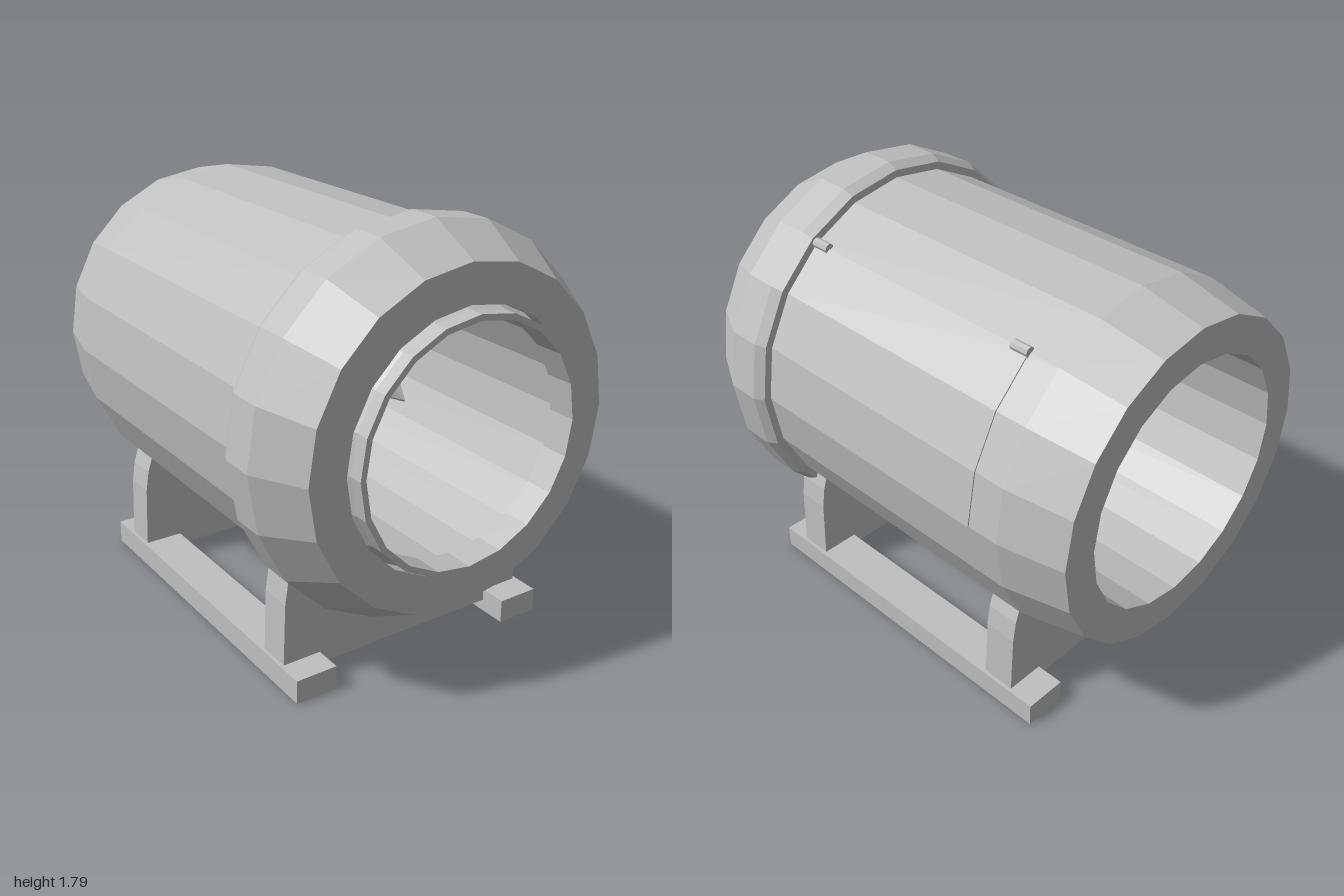
import * as THREE from 'three';

const AXIS_Y = 1;   // height of the engine axis
const SIDES = 20;

export function createModel() {
  const metal = new THREE.MeshStandardMaterial({ color: 0xbfbfbf });
  metal.name = 'grey metal';

  const model = new THREE.Group();
  model.name = 'turbineOnCradle';
  const engine = new THREE.Group();
  engine.name = 'engine';
  engine.position.y = AXIS_Y;
  model.add(engine);

  // Adds a faceted mesh
  function add(parent, name, geometry) {
    const flat = geometry.index ? geometry.toNonIndexed() : geometry;
    flat.computeVertexNormals();
    const mesh = new THREE.Mesh(flat, metal);
    mesh.name = name;
    parent.add(mesh);
    return mesh;
  }

  // Turns [radius, z] points about the z axis
  function turned(profile, sides = SIDES) {
    const points = profile.map(([r, z]) => new THREE.Vector2(r, z));
    return new THREE.LatheGeometry(points, sides).rotateX(Math.PI / 2);
  }

  // Hollow casing with the raised front cowl
  add(engine, 'casing', turned([
    [0.525, -1], [0.675, -1], [0.733, -0.73], [0.733, 0.55], [0.765, 0.55],
    [0.787, 0.595], [0.787, 0.735], [0.675, 0.945], [0.52, 0.945], [0.525, -1],
  ]));

  // Intake lip inside the cowl opening
  add(engine, 'intakeLip', turned([
    [0.478, 0.88], [0.522, 0.88], [0.502, 0.945], [0.502, 1], [0.478, 1], [0.478, 0.88],
  ]));

  // Hub with a blunt nose
  add(engine, 'hub', turned([
    [0, -0.28], [0.08, -0.28], [0.112, -0.24], [0.112, 0.04], [0.073, 0.09], [0, 0.09],
  ], 12));

  // Twisted fan blades, widening towards the tip
  function bladeGeometry() {
    const geometry = new THREE.BoxGeometry(1, 1, 1, 1, 4, 1);
    const p = geometry.attributes.position;
    for (let i = 0; i < p.count; i++) {
      const side = p.getX(i) * 2;
      const t = p.getY(i) + 0.5;
      const face = p.getZ(i) * 2;
      const halfWidth = 0.0175 + 0.0325 * t * t;
      const middle = 0.037 + 0.05 * t - 0.037 * t * t;
      p.setXYZ(i,
        middle + side * halfWidth - face * 0.003,
        0.09 + 0.41 * t,
        -0.03 + side * 0.05 + face * 0.003);
    }
    return geometry;
  }
  for (let i = 0; i < 10; i++) {
    add(engine, 'fanBlade', bladeGeometry()).rotation.z = i * Math.PI / 5;
  }

  // Three struts holding the hub behind the fan
  for (let i = 0; i < 3; i++) {
    const strut = new THREE.CylinderGeometry(0.027, 0.027, 0.46, 6).translate(0, 0.3, -0.22);
    add(engine, 'hubStrut', strut).rotation.z = THREE.MathUtils.degToRad(-18 + i * 120);
  }

  // Access hatch wrapped over three facets of the casing
  const hatch = new THREE.Shape();
  const arc = (r, steps) => steps.map((k) => {
    const a = k * 2 * Math.PI / SIDES;
    return new THREE.Vector2(r * Math.cos(a), r * Math.sin(a));
  });
  hatch.setFromPoints([...arc(0.738, [0, 1, 2, 3]), ...arc(0.73, [3, 2, 1, 0])]);
  add(engine, 'accessHatch',
    new THREE.ExtrudeGeometry(hatch, { depth: 1.14, bevelEnabled: false }).translate(0, 0, -0.595));

  // Hatch hinges
  for (const z of [0.51, -0.56]) {
    const hinge = new THREE.CylinderGeometry(0.021, 0.021, 0.08, 8).rotateX(Math.PI / 2);
    add(engine, 'hatchHinge', hinge).position.set(0.432, 0.597, z);
  }

  // Cradle: two rails and two saddle plates
  const cradle = new THREE.Group();
  cradle.name = 'cradle';
  model.add(cradle);
  for (const side of [-1, 1]) {
    add(cradle, 'rail', new THREE.BoxGeometry(0.18, 0.1, 1.535))
      .position.set(side * 0.508, 0.05, -0.022);
  }

  const outer = [[0.585, 0.05], [0.58, 0.2], [0.574, 0.36], [0.56, 0.45], [0.54, 0.51]];
  const saddle = new THREE.Shape();
  saddle.setFromPoints([
    ...outer.map(([x, y]) => new THREE.Vector2(x, y)),
    // Upper edge sits just inside the casing skin
    ...[-45, -30, -15, 0, 15, 30, 45].map((d) => {
      const a = THREE.MathUtils.degToRad(d);
      return new THREE.Vector2(-0.7 * Math.sin(a), AXIS_Y - 0.7 * Math.cos(a));
    }),
    ...outer.map(([x, y]) => new THREE.Vector2(-x, y)).reverse(),
  ]);
  for (const z of [0.49, -0.67]) {
    add(cradle, 'saddle',
      new THREE.ExtrudeGeometry(saddle, { depth: 0.14, bevelEnabled: false })).position.z = z;
  }

  return model;
}
